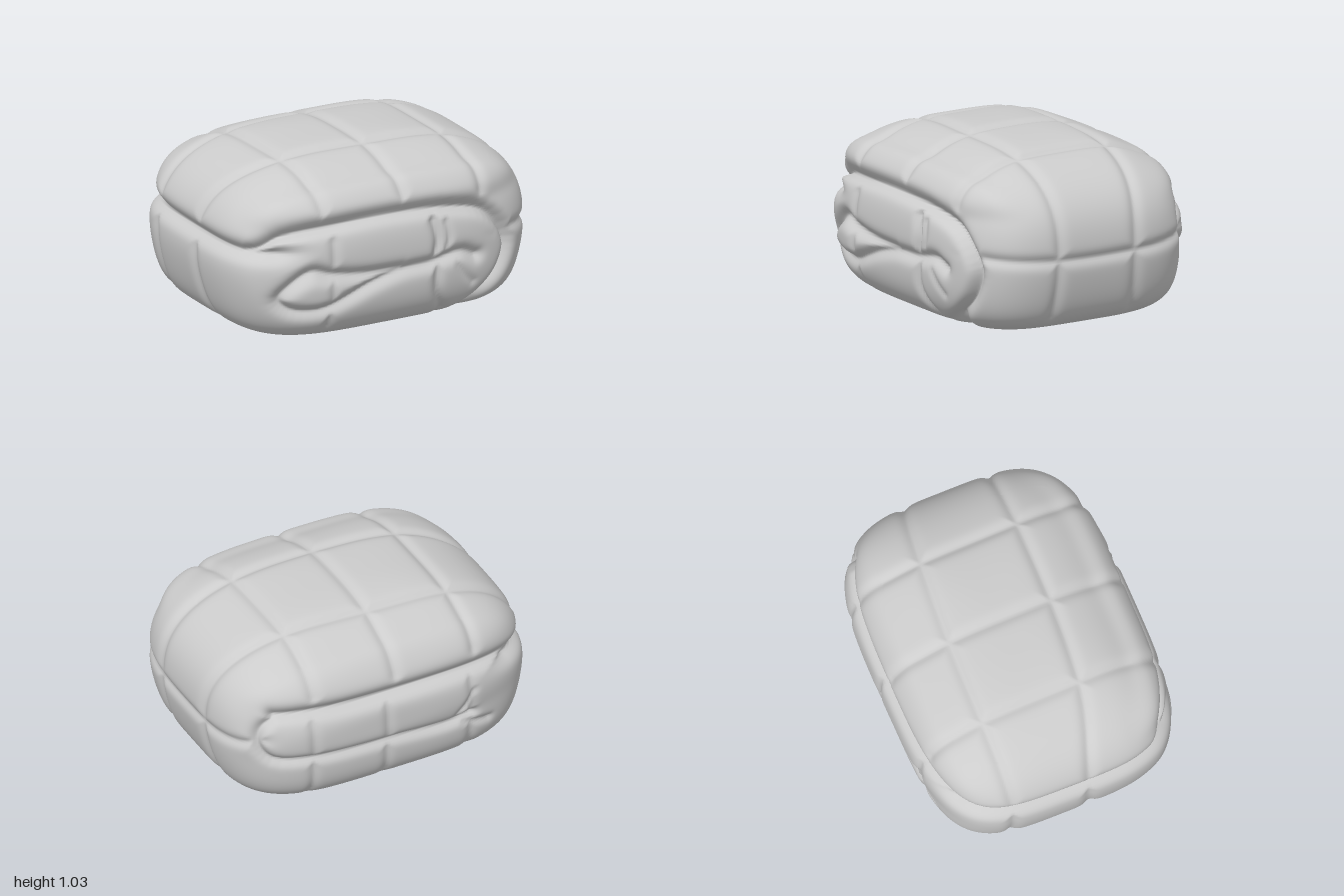
import * as THREE from 'three';
import { mergeVertices } from 'three/addons/utils/BufferGeometryUtils.js';

const { smoothstep } = THREE.MathUtils;

// A crease is a smooth line drawn on one projection plane (axes a, b),
// limited to surfaces facing 'dir' and to a height range.
function crease(axes, dir, depth, width, pts, yMin = -1, yMax = 2) {
  const curve = new THREE.CatmullRomCurve3(pts.map(([a, b]) => new THREE.Vector3(a, b, 0)));
  const line = curve.getPoints(pts.length < 3 ? 1 : pts.length * 4);
  return { axes, dir: new THREE.Vector3(...dir), depth, width, line, yMin, yMax };
}

function lineDistance(line, a, b) {
  let best = Infinity;
  for (let i = 1; i < line.length; i++) {
    const p = line[i - 1], dx = line[i].x - p.x, dy = line[i].y - p.y;
    const t = Math.min(1, Math.max(0, ((a - p.x) * dx + (b - p.y) * dy) / (dx * dx + dy * dy)));
    best = Math.min(best, Math.hypot(a - p.x - t * dx, b - p.y - t * dy));
  }
  return best;
}

const FRONT = [0, 0, 1], BACK = [0, 0, -1], LEFT = [1, 0, 0], RIGHT = [-1, 0, 0], ANY = [0, 0, 0];

function makeCreases() {
  const list = [];
  const front = (d, w, pts) => list.push(crease(['x', 'y'], FRONT, d, w, pts));
  const back = (d, w, pts) => list.push(crease(['x', 'y'], BACK, d, w, pts));

  // front: edge of the top layer wrapping round the inner roll
  front(0.08, 0.034, [[-1.1, 0.56], [-0.9, 0.6], [-0.75, 0.685], [-0.4, 0.72], [0, 0.725], [0.35, 0.7],
    [0.6, 0.62], [0.74, 0.42], [0.7, 0.26], [0.58, 0.12], [0.42, 0.0]]);
  // front: tongue of the inner fold
  front(0.05, 0.038, [[0.5, 0.38], [0.4, 0.42], [0.2, 0.39], [0, 0.38], [-0.2, 0.33], [-0.35, 0.27],
    [-0.52, 0.21], [-0.7, 0.23], [-0.77, 0.3], [-0.7, 0.39], [-0.58, 0.46], [-0.46, 0.43], [-0.25, 0.4], [0, 0.39]]);
  // front: gathered wrinkles at the end of the roll
  front(0.04, 0.028, [[0.22, 0.64], [0.24, 0.52], [0.22, 0.4]]);
  front(0.02, 0.022, [[0.3, 0.62], [0.31, 0.52], [0.29, 0.44]]);
  front(0.03, 0.028, [[0.24, 0.38], [0.24, 0.22], [0.32, 0.04]]);
  front(0.015, 0.02, [[0.34, 0.4], [0.42, 0.28], [0.48, 0.22]]);

  // back: edge of the top layer, inner fold and its wrinkles
  back(0.065, 0.034, [[0.76, 0.68], [0.6, 0.675], [0.3, 0.66], [-0.3, 0.65], [-0.7, 0.64], [-1.1, 0.6]]);
  back(0.045, 0.03, [[0.74, 0.675], [0.83, 0.6], [0.85, 0.5], [0.78, 0.39], [0.5, 0.35], [0, 0.33], [-0.35, 0.31], [-0.5, 0.33]]);
  back(0.025, 0.024, [[-0.38, 0.33], [-0.46, 0.42], [-0.5, 0.5]]);
  back(0.025, 0.024, [[-0.38, 0.32], [-0.52, 0.26], [-0.62, 0.24]]);

  // sides: open mouth of the fold on one, quilting seam on the other
  list.push(crease(['z', 'y'], RIGHT, 0.075, 0.046, [[-0.9, 0.61], [0, 0.59], [0.9, 0.58]]));
  list.push(crease(['z', 'y'], LEFT, 0.026, 0.032, [[-0.64, 0.52], [-0.55, 0.485], [0, 0.455], [0.5, 0.475], [0.8, 0.5]]));

  // quilting seams running across the top layer
  for (const x of [-0.51, 0.01, 0.53])
    list.push(crease(['x', 'z'], ANY, 0.022, 0.034,
      [[x - 0.01, -1], [x - 0.01, -0.4], [x, 0.2], [x + 0.02, 0.6], [x + 0.03, 1]], 0.72, 2));
  // lengthwise seams, continuing down both sides
  for (const pts of [[[-1.1, -0.37], [-0.5, -0.38], [0, -0.37], [0.6, -0.32], [0.9, -0.27], [1.1, -0.2]],
    [[-1.1, 0.06], [-0.9, 0.13], [-0.6, 0.22], [-0.1, 0.27], [0.5, 0.28], [1.1, 0.28]]])
    list.push(crease(['x', 'z'], ANY, 0.022, 0.034, pts, 0.06, 2));
  // seams on the lower layer
  for (const [dir, xs] of [[FRONT, [-0.46]], [BACK, [-0.5, 0.05, 0.52]]])
    for (const x of xs) list.push(crease(['x', 'y'], dir, 0.018, 0.028, [[x, 0.02], [x + 0.02, 0.64]], 0.06, 0.66));
  return list;
}

// Plump rounded block, flatter below and drawn in slightly at the lower ends
function cushionBlock() {
  let geo = new THREE.BoxGeometry(2, 2, 2, 120, 72, 100);
  geo.deleteAttribute('uv');
  geo.deleteAttribute('normal');
  geo = mergeVertices(geo);
  const pos = geo.attributes.position;
  for (let i = 0; i < pos.count; i++) {
    const x = pos.getX(i), y = pos.getY(i), z = pos.getZ(i);
    const m = y > 0 ? 2.7 : 4.6;
    const plan = Math.pow(x ** 4 + z ** 4, 0.25);
    const k = 1 / Math.pow(plan ** m + Math.abs(y) ** m, 1 / m);
    const py = 0.46 + y * k * (y > 0 ? 0.57 : 0.485);
    const taper = 1 - 0.045 * smoothstep(-y * k, 0, 0.7);
    pos.setXYZ(i, x * k * taper, py, z * k * 0.755);
  }
  geo.computeVertexNormals();
  return geo;
}

function pressFolds(geo) {
  const pos = geo.attributes.position, nor = geo.attributes.normal;
  const creases = makeCreases();
  const p = new THREE.Vector3(), n = new THREE.Vector3();
  for (let i = 0; i < pos.count; i++) {
    p.fromBufferAttribute(pos, i);
    n.fromBufferAttribute(nor, i);
    let dent = 0;
    for (const c of creases) {
      let mask = c.dir.lengthSq() ? smoothstep(n.dot(c.dir), 0.1, 0.5) : 1;
      mask *= smoothstep(p.y, c.yMin - 0.04, c.yMin + 0.04) * (1 - smoothstep(p.y, c.yMax - 0.04, c.yMax + 0.04));
      if (mask < 0.01) continue;
      const d = lineDistance(c.line, p[c.axes[0]], p[c.axes[1]]);
      dent = Math.max(dent, c.depth * mask * Math.exp(-Math.pow(d / c.width, 1.6)));
    }
    // padded swellings: inner rolls at front and back, tongue, upper lip
    const puff = (cx, cy, rx, ry) => Math.exp(-Math.pow(((p.x - cx) / rx) ** 2 + ((p.y - cy) / ry) ** 2, 2));
    const f = smoothstep(n.z, 0.2, 0.7), b = smoothstep(-n.z, 0.2, 0.7);
    const swell = f * (0.025 * puff(-0.1, 0.42, 0.85, 0.3) + 0.015 * puff(-0.55, 0.32, 0.18, 0.08)
      + 0.045 * puff(0, 0.81, 0.95, 0.1)) + b * (0.025 * puff(0.1, 0.49, 0.8, 0.14) + 0.03 * puff(0, 0.8, 0.9, 0.12));
    p.addScaledVector(n, swell - dent);
    pos.setXYZ(i, p.x, Math.max(0, p.y), p.z);
  }
}

export function createModel() {
  const geo = cushionBlock();
  pressFolds(geo);
  geo.computeVertexNormals();

  const quilt = new THREE.Mesh(geo, new THREE.MeshStandardMaterial({ color: 0xcccccc }));
  quilt.name = 'foldedQuilt';
  const group = new THREE.Group();
  group.name = 'foldedBlanket';
  group.add(quilt);
  return group;
}
